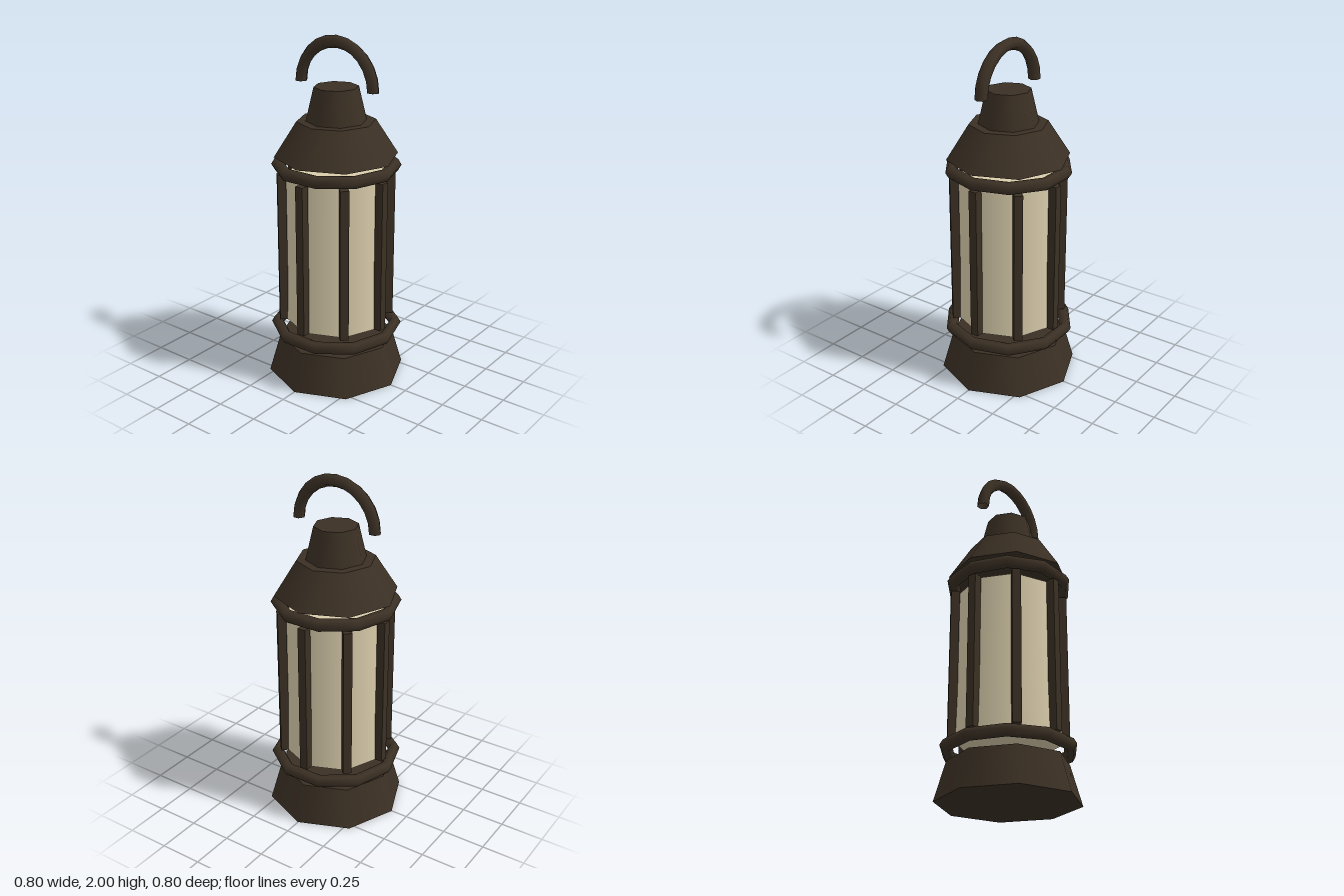
import * as THREE from 'three';

export function createModel() {
  const lantern = new THREE.Group();
  lantern.name = 'lantern';

  const metal = new THREE.MeshStandardMaterial({ color: 0x3b3024, side: THREE.DoubleSide });
  metal.name = 'dark bronze';
  const glow = new THREE.MeshStandardMaterial({ color: 0xd9ccab });
  glow.name = 'warm glass';

  const add = (name, geometry, material, y) => {
    const mesh = new THREE.Mesh(geometry, material);
    mesh.name = name;
    mesh.position.y = y;
    lantern.add(mesh);
    return mesh;
  };

  // Eight-sided tapered section standing between two heights
  const section = (name, rTop, rBottom, y0, y1, material = metal) =>
    add(name, new THREE.CylinderGeometry(rTop, rBottom, y1 - y0, 8), material, (y0 + y1) / 2);

  section('base', 0.335, 0.4, 0, 0.225);
  section('glass', 0.282, 0.302, 0.34, 1.23, glow);
  section('roof', 0.222, 0.35, 1.33, 1.53);
  section('chimney', 0.125, 0.17, 1.53, 1.72);

  // Ten-sided rings above and below the glass
  const ring = (name, radius, y) => {
    add(name, new THREE.TorusGeometry(radius, 0.035, 6, 10), metal, y).rotation.x = Math.PI / 2;
  };
  ring('lowerRing', 0.348, 0.293);
  ring('upperRing', 0.33, 1.275);

  // Upright bars around the glass
  const barGeometry = new THREE.BoxGeometry(0.049, 0.89, 0.049);
  for (let i = 0; i < 8; i++) {
    const a = (i / 8) * Math.PI * 2;
    const bar = add('bar' + (i + 1), barGeometry, metal, 0.785);
    bar.position.x = Math.sin(a) * 0.31;
    bar.position.z = Math.cos(a) * 0.31;
    bar.rotation.y = a;
  }

  // Arched carrying handle
  add('handle', new THREE.TorusGeometry(0.245, 0.035, 6, 12, Math.PI), metal, 1.72);

  return lantern;
}
